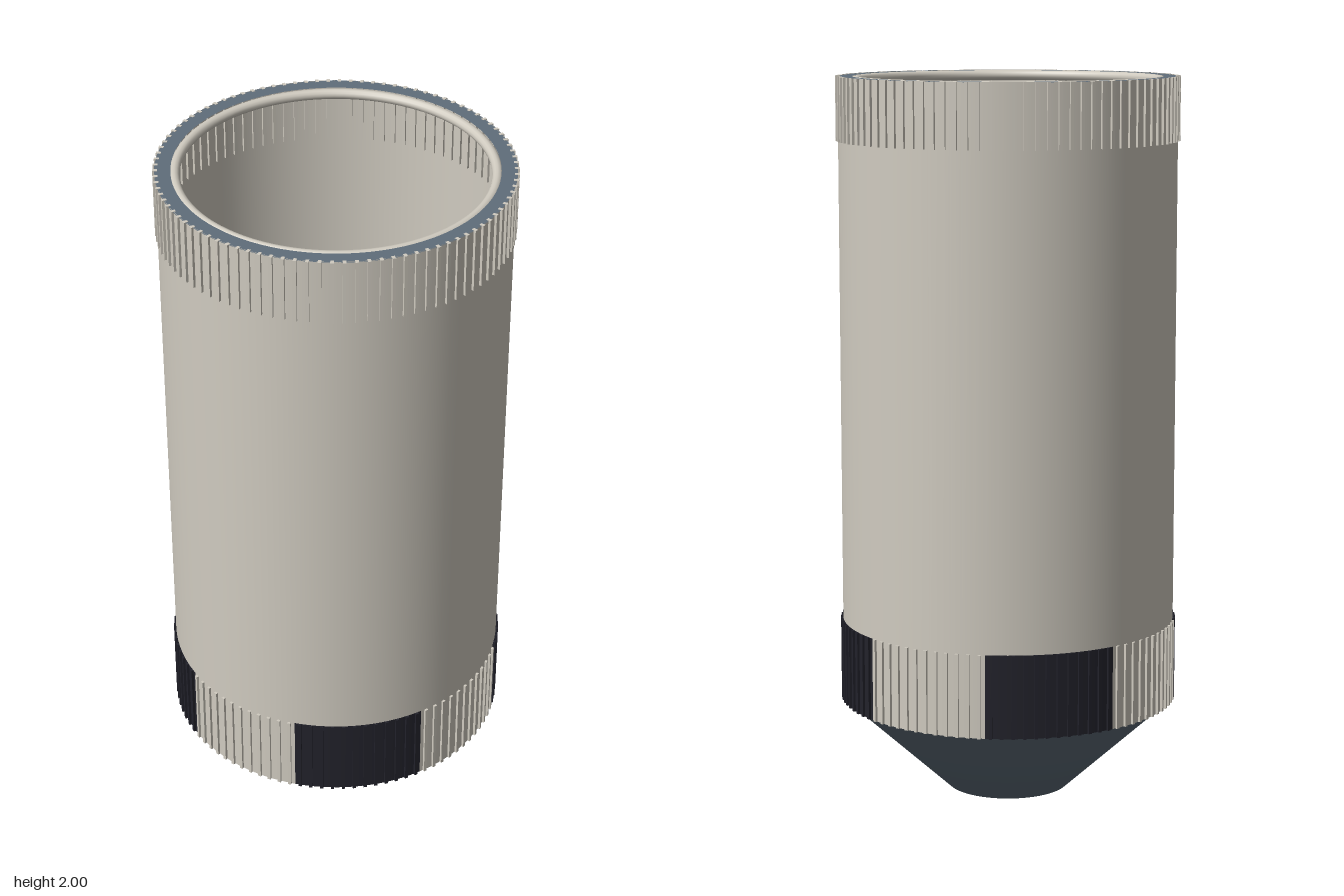
import * as THREE from 'three';
import { mergeGeometries } from 'three/addons/utils/BufferGeometryUtils.js';

const R = 0.465;          // shell radius
const RIBS = 96;          // ribs around each band
const SECTORS = 8;        // alternating colours of the lower band
const BAND = [0.26, 0.49];
const COLLAR = [1.825, 2];

function material(name, color) {
  const m = new THREE.MeshStandardMaterial({ color, side: THREE.DoubleSide });
  m.name = name;
  return m;
}

// Open tube section between two heights
function tube(y0, y1, segments, start = 0, length = Math.PI * 2) {
  return new THREE.CylinderGeometry(R, R, y1 - y0, segments, 1, true, start, length)
    .translate(0, (y0 + y1) / 2, 0);
}

// Thin upright ribs straddling the shell, numbered from..to
function ribs(y0, y1, from, to) {
  const list = [];
  for (let i = from; i < to; i++) {
    list.push(new THREE.BoxGeometry(0.009, y1 - y0, 0.013)
      .translate(0, (y0 + y1) / 2, R)
      .rotateY((i + 0.5) / RIBS * Math.PI * 2));
  }
  return mergeGeometries(list);
}

export function createModel() {
  const cream = material('cream', 0xd0cbc0);
  const slate = material('slate', 0x5f6d7a);
  const black = material('black', 0x22222b);
  const model = new THREE.Group();
  model.name = 'ribbedCapsule';

  const add = (name, geometry, mat) => {
    const mesh = new THREE.Mesh(geometry, mat);
    mesh.name = name;
    model.add(mesh);
  };

  // Shell and upper ribbed collar
  add('shell', tube(BAND[1], COLLAR[1], 96), cream);
  add('collarRibs', ribs(...COLLAR, 0, RIBS), cream);

  // Lower band: eight alternating ribbed sectors
  const angle = Math.PI * 2 / SECTORS, perSector = RIBS / SECTORS;
  for (let s = 0; s < SECTORS; s++) {
    const mat = s % 2 ? cream : black;
    add('bandSector' + (s + 1), tube(...BAND, 12, s * angle, angle), mat);
    add('bandRibs' + (s + 1), ribs(...BAND, s * perSector, (s + 1) * perSector), mat);
  }

  // Flat rim and rounded inner lip at the open top
  add('rim', new THREE.RingGeometry(0.425, 0.467, 96).rotateX(-Math.PI / 2).translate(0, 1.999, 0), slate);
  add('innerLip', new THREE.TorusGeometry(0.415, 0.014, 12, 96).rotateX(Math.PI / 2).translate(0, 1.986, 0), cream);

  // Tapered hollow base
  const profile = [[0, 0], [0.17, 0], [0.455, 0.26], [R, 0.268]].map(([x, y]) => new THREE.Vector2(x, y));
  add('taperedBase', new THREE.LatheGeometry(profile, 96), slate);

  return model;
}
